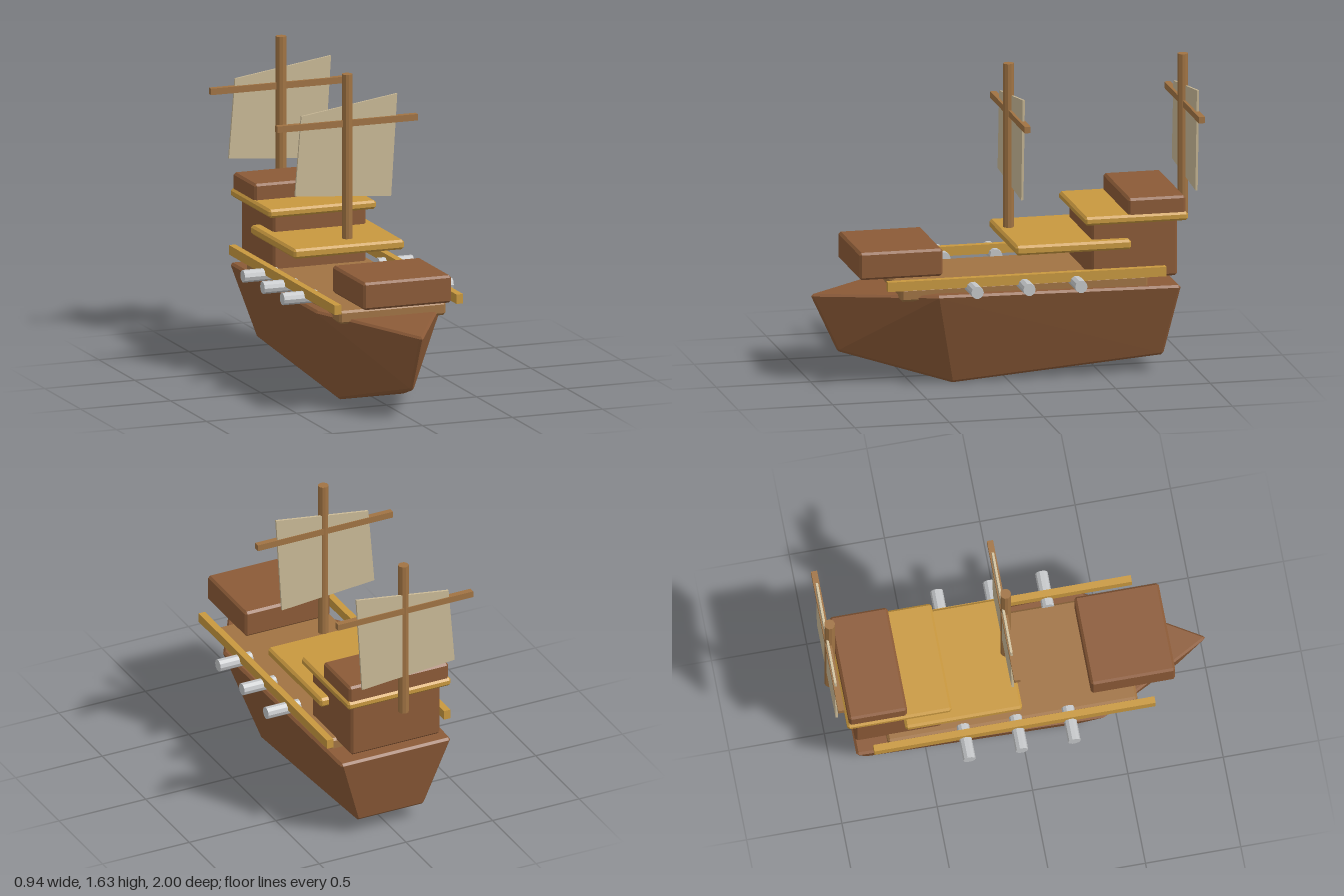
import * as THREE from 'three';
import { ConvexGeometry } from 'three/addons/geometries/ConvexGeometry.js';

const mat = (name, color, extra = {}) => {
  const m = new THREE.MeshStandardMaterial({ color, flatShading: true, ...extra });
  m.name = name;
  return m;
};

// Convex solid whose edges and corners are chamfered by r
function chamfered(points, r) {
  const all = [];
  for (const [x, y, z] of points) {
    for (const s of [-r, r]) {
      all.push(new THREE.Vector3(x + s, y, z), new THREE.Vector3(x, y + s, z), new THREE.Vector3(x, y, z + s));
    }
  }
  return new ConvexGeometry(all);
}

// Chamfered box given by its half width and its y and z limits
function chamferedBox(halfX, y0, y1, z0, z1, r = 0.012) {
  const points = [];
  for (const x of [-halfX + r, halfX - r])
    for (const y of [y0 + r, y1 - r])
      for (const z of [z0 + r, z1 - r]) points.push([x, y, z]);
  return chamfered(points, r);
}

export function createModel() {
  const ship = new THREE.Group();
  ship.name = 'ship';
  const brown = mat('dark wood', 0x8b5a37);
  const wood = mat('light wood', 0xa07343);
  const gold = mat('golden wood', 0xc8983f);
  const cloth = mat('sail cloth', 0xc9b996);
  const metal = mat('cannon metal', 0xc4c6c8);

  const add = (name, geometry, material, parent = ship) => {
    const mesh = new THREE.Mesh(geometry, material);
    mesh.name = name;
    parent.add(mesh);
    return mesh;
  };

  // Faceted hull: bow ridge, midship section and stern section
  const hullPoints = [[0, 0.455, 0.985], [0, 0.165, 0.85]];
  for (const s of [-1, 1]) {
    hullPoints.push(
      [s * 0.34, 0.495, 0.4], [s * 0.175, 0.012, 0.29],
      [s * 0.305, 0.47, -0.877], [s * 0.185, 0.1, -0.815]);
  }
  add('hull', chamfered(hullPoints, 0.012), brown);

  // Decks and cabins
  add('deck', chamferedBox(0.295, 0.47, 0.54, -0.72, 0.59), wood);
  add('foreCabin', chamferedBox(0.245, 0.585, 0.73, 0.355, 0.797), brown);
  add('midPlatform', chamferedBox(0.307, 0.685, 0.736, -0.63, -0.017), gold);
  add('aftCabin', chamferedBox(0.257, 0.52, 0.84, -0.885, -0.43), brown);
  add('aftPlatform', chamferedBox(0.298, 0.82, 0.865, -0.933, -0.385), gold);
  add('aftTopCabin', chamferedBox(0.287, 0.85, 0.95, -0.922, -0.617), brown);

  // Side rails and cannons
  const railGeometry = new THREE.BoxGeometry(0.037, 0.05, 1.475);
  const cannonGeometry = new THREE.CylinderGeometry(0.033, 0.033, 0.19, 10).rotateZ(Math.PI / 2);
  for (const [side, s] of [['left', 1], ['right', -1]]) {
    add(side + 'Rail', railGeometry, gold).position.set(s * 0.338, 0.57, -0.065);
    [0.225, -0.05, -0.325].forEach((z, i) => {
      add(side + 'Cannon' + (i + 1), cannonGeometry, metal).position.set(s * 0.375, 0.543, z);
    });
  }

  // Masts, each with a yard and a skewed sail
  const mastGeometry = new THREE.CylinderGeometry(0.028, 0.028, 0.87, 10);
  const yardGeometry = new THREE.BoxGeometry(0.78, 0.034, 0.032);
  const sailShape = new THREE.Shape([
    new THREE.Vector2(-0.285, 1.008), new THREE.Vector2(0.248, 0.965),
    new THREE.Vector2(0.282, 1.505), new THREE.Vector2(-0.25, 1.428)]);
  const sailGeometry = new THREE.ExtrudeGeometry(sailShape, { depth: 0.012, bevelEnabled: false });
  for (const [name, z] of [['mainMast', -0.049], ['aftMast', -0.972]]) {
    const rig = new THREE.Group();
    rig.name = name;
    rig.position.z = z;
    add('mast', mastGeometry, wood, rig).position.y = 1.2;
    add('yard', yardGeometry, wood, rig).position.set(0, 1.373, -0.01);
    add('sail', sailGeometry, cloth, rig).position.z = -0.021;
    ship.add(rig);
  }
  return ship;
}
